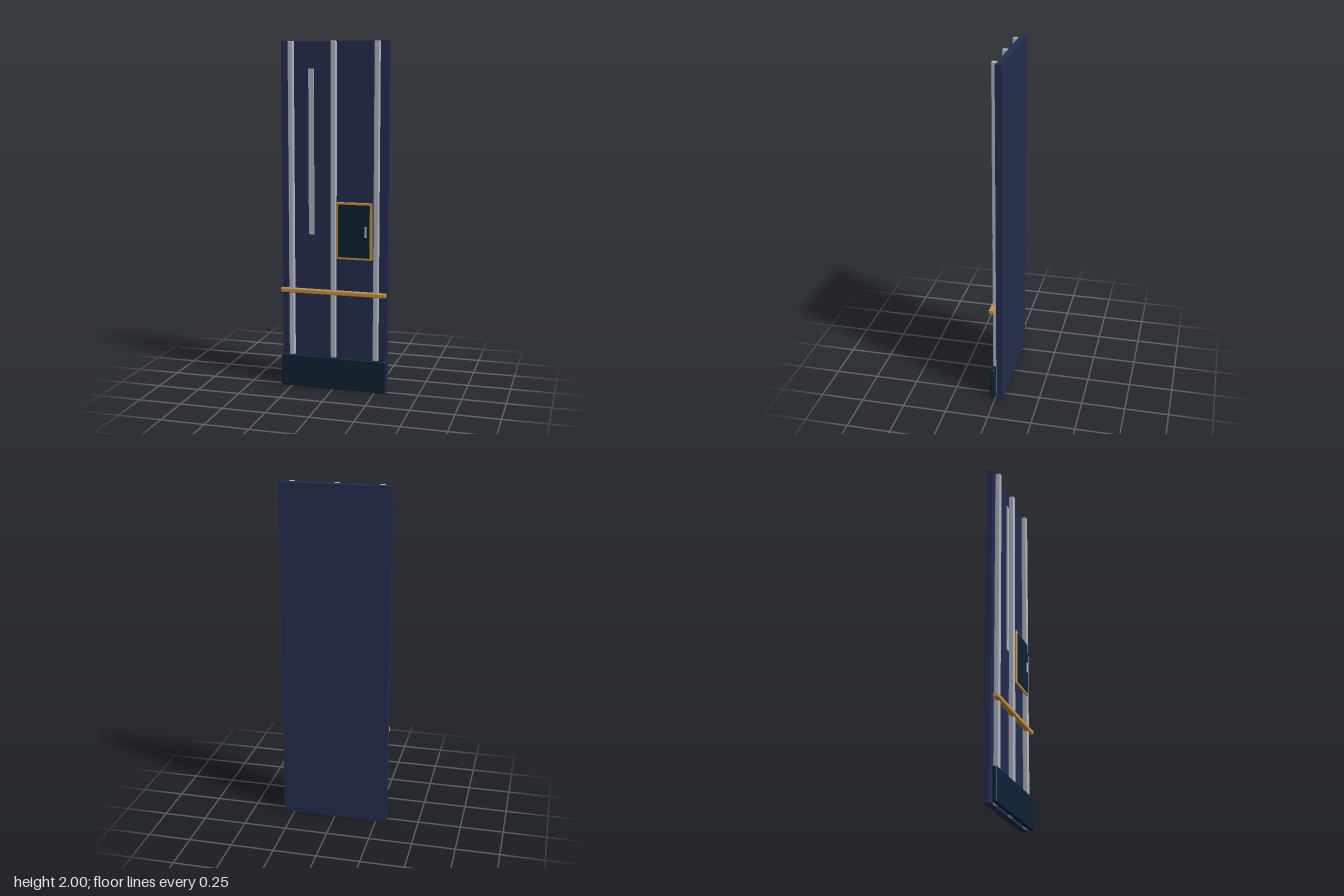
import * as THREE from 'three';
import { RoundedBoxGeometry } from 'three/addons/geometries/RoundedBoxGeometry.js';

const material = (name, color) => {
  const m = new THREE.MeshStandardMaterial({ color });
  m.name = name;
  return m;
};

export function createModel() {
  const navy = material('navy', 0x232d4f);
  const darkTeal = material('dark teal', 0x0d2335);
  const silver = material('silver', 0xb0b6c2);
  const ochre = material('ochre', 0xca9240);
  const model = new THREE.Group();
  model.name = 'wallPanel';

  // Adds a box given its limits on each axis, with optional rounded edges
  const addBox = (name, mat, [x0, x1], [y0, y1], [z0, z1], radius = 0) => {
    const size = [x1 - x0, y1 - y0, z1 - z0];
    const geometry = radius
      ? new RoundedBoxGeometry(...size, 3, radius)
      : new THREE.BoxGeometry(...size);
    const mesh = new THREE.Mesh(geometry, mat);
    mesh.name = name;
    mesh.position.set((x0 + x1) / 2, (y0 + y1) / 2, (z0 + z1) / 2);
    model.add(mesh);
  };

  // Backing panel
  addBox('backPanel', navy, [-0.313, 0.313], [0, 2], [-0.044, -0.007]);

  // Vertical ribs
  ['rightRib', 'middleRib', 'leftRib'].forEach((name, i) => {
    const x = (i - 1) * 0.25;
    addBox(name, silver, [x - 0.015, x + 0.015], [0, 2], [-0.007, 0.024], 0.005);
  });

  // Kick plate and horizontal rail
  addBox('kickPlate', darkTeal, [-0.313, 0.313], [0, 0.19], [0.006, 0.032], 0.008);
  addBox('rail', ochre, [-0.313, 0.313], [0.563, 0.588], [0.006, 0.036], 0.005);

  // Slim light strip
  addBox('lightStrip', silver, [-0.142, -0.11], [0.911, 1.847], [0.023, 0.028]);

  // Access hatch: frame, door and handle
  addBox('hatchFrame', ochre, [0.018, 0.231], [0.774, 1.103], [0.019, 0.03], 0.004);
  addBox('hatchDoor', darkTeal, [0.033, 0.216], [0.788, 1.09], [0.029, 0.035]);
  addBox('hatchHandle', silver, [0.187, 0.2], [0.907, 0.97], [0.034, 0.04], 0.002);

  return model;
}
